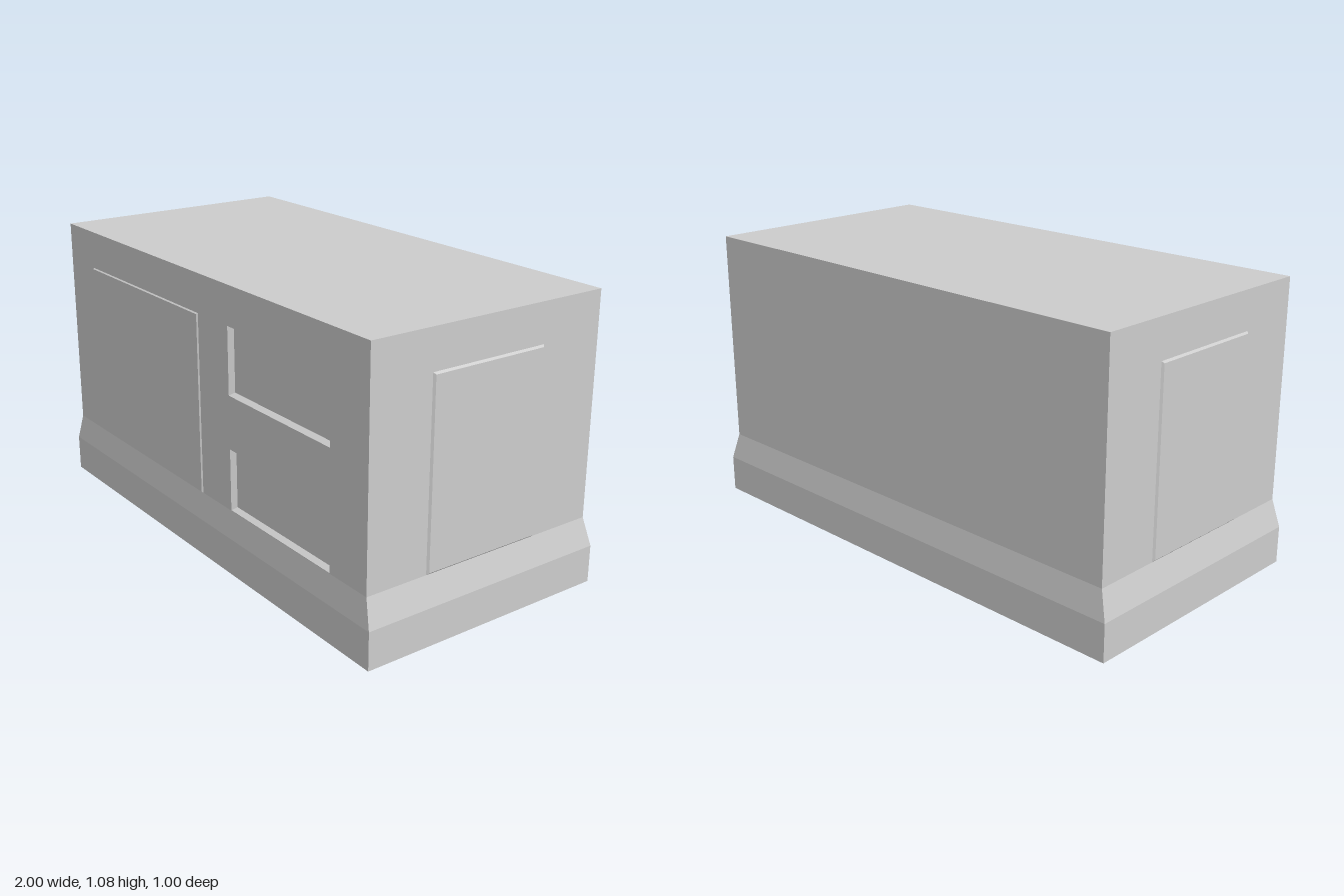
import * as THREE from 'three';

const FRONT = 0.488, BACK = -0.482, SIDE = 0.97, SHOULDER = 0.245, TOP = 1.075;

// Skins a stack of four-cornered rings; corners run counter-clockwise seen from the last ring.
function loft(rings, { capStart = false, skip = () => false } = {}) {
  const pos = [];
  const quad = (a, b, c, d) => pos.push(...a, ...b, ...c, ...a, ...c, ...d);
  for (let r = 0; r < rings.length - 1; r++) {
    const a = rings[r], b = rings[r + 1];
    for (let i = 0; i < 4; i++) {
      const j = (i + 1) % 4;
      if (!skip(r, i)) quad(a[i], a[j], b[j], b[i]);
    }
  }
  quad(...rings[rings.length - 1]);
  if (capStart) quad(...[...rings[0]].reverse());
  const g = new THREE.BufferGeometry();
  g.setAttribute('position', new THREE.Float32BufferAttribute(pos, 3));
  g.computeVertexNormals();
  return g;
}

// Horizontal ring at height y
const level = (y, x, front, back) => [[-x, y, front], [x, y, front], [x, y, back], [-x, y, back]];
// Upright ring at depth z, shrunk by inset
const upright = ({ x0, x1, y0, y1 }, z, i = 0) =>
  [[x0 + i, y0 + i, z], [x1 - i, y0 + i, z], [x1 - i, y1 - i, z], [x0 + i, y1 - i, z]];

export function createModel() {
  const group = new THREE.Group();
  const grey = new THREE.MeshStandardMaterial({ color: 0xcccccc });
  grey.name = 'light grey';
  const add = (name, geometry) => {
    const mesh = new THREE.Mesh(geometry, grey);
    mesh.name = name;
    group.add(mesh);
    return mesh;
  };

  // Flared plinth and box body, left open where the front wall goes
  add('body', loft([
    level(0, 1, 0.5, -0.5),
    level(0.14, 1, 0.5, -0.5),
    level(SHOULDER, SIDE, FRONT, BACK),
    level(TOP, SIDE, FRONT, BACK),
  ], { capStart: true, skip: (ring, side) => ring === 2 && side === 0 }));

  // Front wall with two openings and their bevelled recesses
  const recesses = [
    { x0: 0.2, x1: 0.78, y0: 0.68, y1: 0.93 },
    { x0: 0.2, x1: 0.78, y0: 0.247, y1: 0.48 },
  ];
  const toPoints = (ring) => ring.map(([x, y]) => new THREE.Vector2(x, y));
  const wall = new THREE.Shape(toPoints(upright({ x0: -SIDE, x1: SIDE, y0: SHOULDER, y1: TOP }, 0)));
  for (const r of recesses) {
    wall.holes.push(new THREE.Path(toPoints(upright(r, 0)).reverse()));
    add('recess', loft([upright(r, FRONT), upright(r, FRONT - 0.02, 0.01)]));
  }
  add('frontWall', new THREE.ShapeGeometry(wall).translate(0, 0, FRONT));

  // Raised bevelled panels on the front and both ends
  const panel = (name, rect, z, rise, bevel) =>
    add(name, loft([upright(rect, z), upright(rect, z + rise, bevel)]));
  panel('frontPanel', { x0: -0.78, x1: 0.01, y0: SHOULDER, y1: 0.93 }, FRONT, 0.005, 0.004);
  panel('leftPanel', { x0: -0.245, x1: 0.227, y0: SHOULDER, y1: 0.93 }, SIDE, 0.007, 0.007)
    .rotation.y = Math.PI / 2;
  panel('rightPanel', { x0: -0.227, x1: 0.245, y0: SHOULDER, y1: 0.93 }, SIDE, 0.007, 0.007)
    .rotation.y = -Math.PI / 2;

  return group;
}
